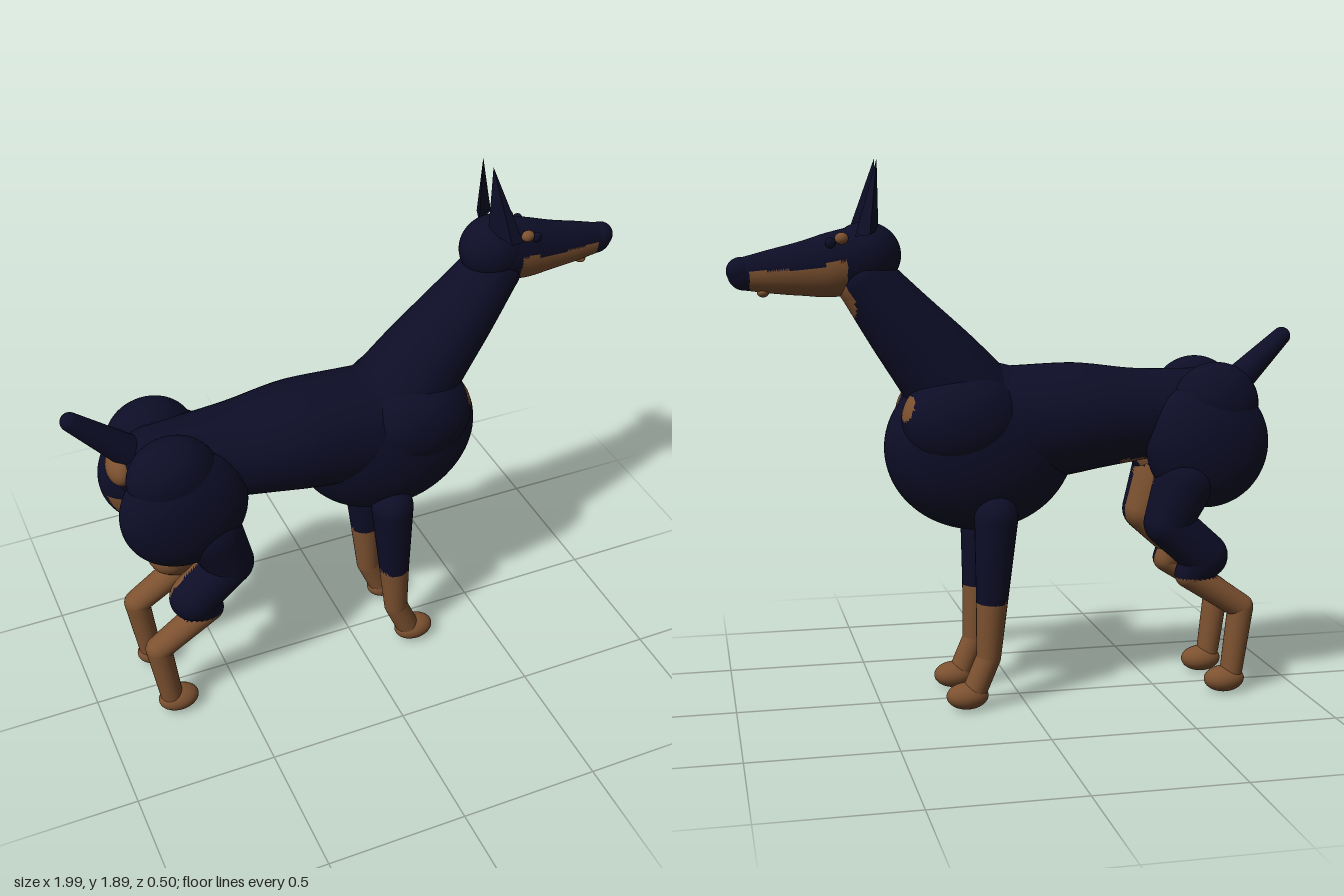
import * as THREE from 'three';
import { mergeGeometries } from 'three/addons/utils/BufferGeometryUtils.js';
import { ConvexGeometry } from 'three/addons/geometries/ConvexGeometry.js';

const coat = new THREE.MeshStandardMaterial({ color: 0x0d0d27 });
coat.name = 'dark coat';
const tan = new THREE.MeshStandardMaterial({ color: 0x7c5130 });
tan.name = 'tan markings';

// Ellipsoid at a centre with three radii
function blob(x, y, z, rx, ry, rz, detail = 48) {
  return new THREE.SphereGeometry(1, detail, Math.round(detail * 0.75)).scale(rx, ry, rz).translate(x, y, z);
}

// Cone with ball ends between two [x, y, z, radius] points
function roundCone(a, b) {
  const A = new THREE.Vector3(...a), B = new THREE.Vector3(...b);
  const dir = B.clone().sub(A), len = dir.length();
  const tilt = Math.asin(THREE.MathUtils.clamp((a[3] - b[3]) / len, -1, 1));
  const profile = [];
  for (let i = 0; i <= 8; i++) {
    const t = THREE.MathUtils.lerp(-Math.PI / 2, tilt, i / 8);
    profile.push(new THREE.Vector2(Math.max(0, a[3] * Math.cos(t)), a[3] * Math.sin(t)));
  }
  const first = profile[8].clone();
  const last = new THREE.Vector2(b[3] * Math.cos(tilt), len + b[3] * Math.sin(tilt));
  for (let i = 1; i < 16; i++) profile.push(first.clone().lerp(last, i / 16));
  for (let i = 0; i <= 8; i++) {
    const t = THREE.MathUtils.lerp(tilt, Math.PI / 2, i / 8);
    profile.push(new THREE.Vector2(Math.max(0, b[3] * Math.cos(t)), len + b[3] * Math.sin(t)));
  }
  const turn = new THREE.Quaternion().setFromUnitVectors(new THREE.Vector3(0, 1, 0), dir.normalize());
  return new THREE.LatheGeometry(profile, 28).applyQuaternion(turn).translate(a[0], a[1], a[2]);
}

function limb(points) {
  return mergeGeometries(points.slice(1).map((p, i) => roundCone(points[i], p)));
}

// Smooth body along the middle plane: stations are [x, y, height radius, width radius]
function loft(stations, steps = 50, sides = 48) {
  const path = new THREE.CatmullRomCurve3(stations.map(s => new THREE.Vector3(s[0], s[1], 0)));
  const size = new THREE.CatmullRomCurve3(stations.map(s => new THREE.Vector3(s[2], s[3], 0)));
  const rings = [];
  const addRing = (t, push, scale) => {
    const tangent = path.getTangent(t), r = size.getPoint(t);
    rings.push({ c: path.getPoint(t).addScaledVector(tangent, push * r.x), tangent, h: r.x * scale, w: r.y * scale });
  };
  for (let i = 0; i < 8; i++) {
    const a = i / 8 * Math.PI / 2;
    addRing(0, -Math.cos(a), Math.max(0.002, Math.sin(a)));
  }
  for (let i = 0; i <= steps; i++) addRing(i / steps, 0, 1);
  for (let i = 1; i <= 8; i++) {
    const a = i / 8 * Math.PI / 2;
    addRing(1, Math.sin(a), Math.max(0.002, Math.cos(a)));
  }
  const pos = [], index = [];
  rings.forEach(({ c, tangent, h, w }, i) => {
    for (let j = 0; j < sides; j++) {
      const a = j / sides * Math.PI * 2, up = h * Math.cos(a);
      pos.push(c.x - tangent.y * up, c.y + tangent.x * up, w * Math.sin(a));
      if (i === rings.length - 1) continue;
      const k = (j + 1) % sides, p = i * sides, q = p + sides;
      index.push(p + j, p + k, q + j, p + k, q + k, q + j);
    }
  });
  const geo = new THREE.BufferGeometry();
  geo.setAttribute('position', new THREE.Float32BufferAttribute(pos, 3));
  geo.setIndex(index);
  geo.computeVertexNormals();
  return geo;
}

// Sorts the faces into coat and tan groups by a rule on each face centre
function paint(geo, isTan) {
  const p = geo.attributes.position, idx = geo.index.array, sorted = [[], []];
  for (let i = 0; i < idx.length; i += 3) {
    const tri = [idx[i], idx[i + 1], idx[i + 2]];
    const mean = get => tri.reduce((sum, v) => sum + get(v), 0) / 3;
    const hit = isTan(mean(v => p.getX(v)), mean(v => p.getY(v)), mean(v => p.getZ(v)));
    sorted[hit ? 1 : 0].push(...tri);
  }
  geo.setIndex([...sorted[0], ...sorted[1]]);
  geo.clearGroups();
  geo.addGroup(0, sorted[0].length, 0);
  geo.addGroup(sorted[0].length, sorted[1].length, 1);
  return geo;
}

export function createModel() {
  const dog = new THREE.Group();
  dog.name = 'dog';
  const add = (name, geo, material = coat) => {
    const mesh = new THREE.Mesh(geo, material);
    mesh.name = name;
    dog.add(mesh);
  };
  const addPainted = (name, geo, rule) => add(name, paint(geo, rule), [coat, tan]);

  // Trunk and chest
  addPainted('trunk', loft([
    [-0.7, 1.02, 0.14, 0.12], [-0.42, 1.0, 0.165, 0.165], [-0.2, 0.995, 0.195, 0.19],
    [0, 0.975, 0.21, 0.185], [0.14, 0.96, 0.22, 0.18],
  ]), (x, y) => y < 0.855 && x < -0.35 && x > -0.45);
  add('chest', blob(0.14, 0.905, 0, 0.335, 0.295, 0.2, 64));
  add('tail', roundCone([-0.76, 1.07, 0, 0.06], [-0.968, 1.268, 0, 0.032]));
  add('rumpMarking', blob(-0.825, 1.04, 0, 0.045, 0.06, 0.07, 24), tan);

  // Neck with throat patch
  addPainted('neck', loft([
    [0.17, 1.04, 0.18, 0.18], [0.28, 1.18, 0.158, 0.158],
    [0.41, 1.335, 0.13, 0.13], [0.527, 1.48, 0.103, 0.1],
  ]), (x, y, z) => x > 0.54 && Math.hypot(x - 0.6, y - 1.425, z) < 0.075);

  // Head
  add('skull', blob(0.53, 1.57, 0, 0.12, 0.112, 0.1));
  addPainted('muzzle', loft([
    [0.57, 1.555, 0.11, 0.094], [0.65, 1.537, 0.108, 0.083], [0.75, 1.525, 0.09, 0.067],
    [0.85, 1.517, 0.073, 0.055], [0.935, 1.511, 0.056, 0.042],
  ], 70), (x, y) => x > 0.6 && x < 0.92 && y < (x < 0.67 ? 1.55 : 1.53) - (x - 0.67) * 0.04);
  add('nose', blob(0.945, 1.52, 0, 0.05, 0.047, 0.043, 32));
  add('lowerLip', blob(0.875, 1.447, 0, 0.02, 0.015, 0.025, 20), tan);

  for (const s of [1, -1]) {
    const side = s > 0 ? 'left' : 'right';

    add(side + 'Ear', new ConvexGeometry([
      [0.493, 1.89, 0.036], [0.49, 1.655, 0.034], [0.578, 1.635, 0.118], [0.53, 1.64, 0.13],
    ].map(([x, y, z]) => new THREE.Vector3(x, y, z * s))));
    add(side + 'BrowMarking', blob(0.618, 1.628, 0.076 * s, 0.023, 0.02, 0.018, 20), tan);
    add(side + 'Eye', blob(0.655, 1.613, 0.07 * s, 0.018, 0.018, 0.014, 20));

    // Shoulder with chest spot
    addPainted(side + 'Shoulder', blob(0.215, 1.01, 0.08 * s, 0.21, 0.175, 0.14, 80),
      (x, y, z) => Math.hypot(x - 0.39, (y - 1.05) * 0.9, z - 0.1 * s) < 0.045);

    // Front leg
    addPainted(side + 'FrontLeg', limb([
      [0.11, 0.68, 0.138, 0.076], [0.125, 0.38, 0.133, 0.055],
      [0.137, 0.18, 0.13, 0.043], [0.19, 0.055, 0.13, 0.043],
    ]), (x, y) => y < 0.38);
    add(side + 'FrontPaw', blob(0.212, 0.047, 0.13 * s, 0.074, 0.047, 0.052, 32), tan);

    // Thigh, hock and hind leg
    add(side + 'Hip', blob(-0.68, 1.045, 0.12 * s, 0.155, 0.147, 0.105));
    addPainted(side + 'Thigh', blob(-0.65, 0.905, 0.128 * s, 0.222, 0.226, 0.12, 64),
      (x, y, z) => z * s < 0.09 && y < 0.86);
    addPainted(side + 'HindLeg', limb([
      [-0.57, 0.79, 0.135, 0.11], [-0.505, 0.63, 0.135, 0.084],
      [-0.645, 0.505, 0.13, 0.083], [-0.59, 0.44, 0.13, 0.052],
      [-0.785, 0.31, 0.13, 0.046], [-0.752, 0.06, 0.13, 0.04],
    ]), (x, y, z) => y < 0.43 || (z < 0.12 && y < 0.8));
    add(side + 'HindPaw', blob(-0.728, 0.047, 0.13 * s, 0.074, 0.047, 0.052, 32), tan);
  }

  // Move the right legs to their own side; they are mirror images across the middle
  for (const name of ['rightFrontLeg', 'rightHindLeg']) {
    const geo = dog.getObjectByName(name).geometry.scale(1, 1, -1);
    const idx = geo.index;
    for (let i = 0; i < idx.count; i += 3) {
      const b = idx.getX(i + 1);
      idx.setX(i + 1, idx.getX(i + 2));
      idx.setX(i + 2, b);
    }
  }
  return dog;
}
